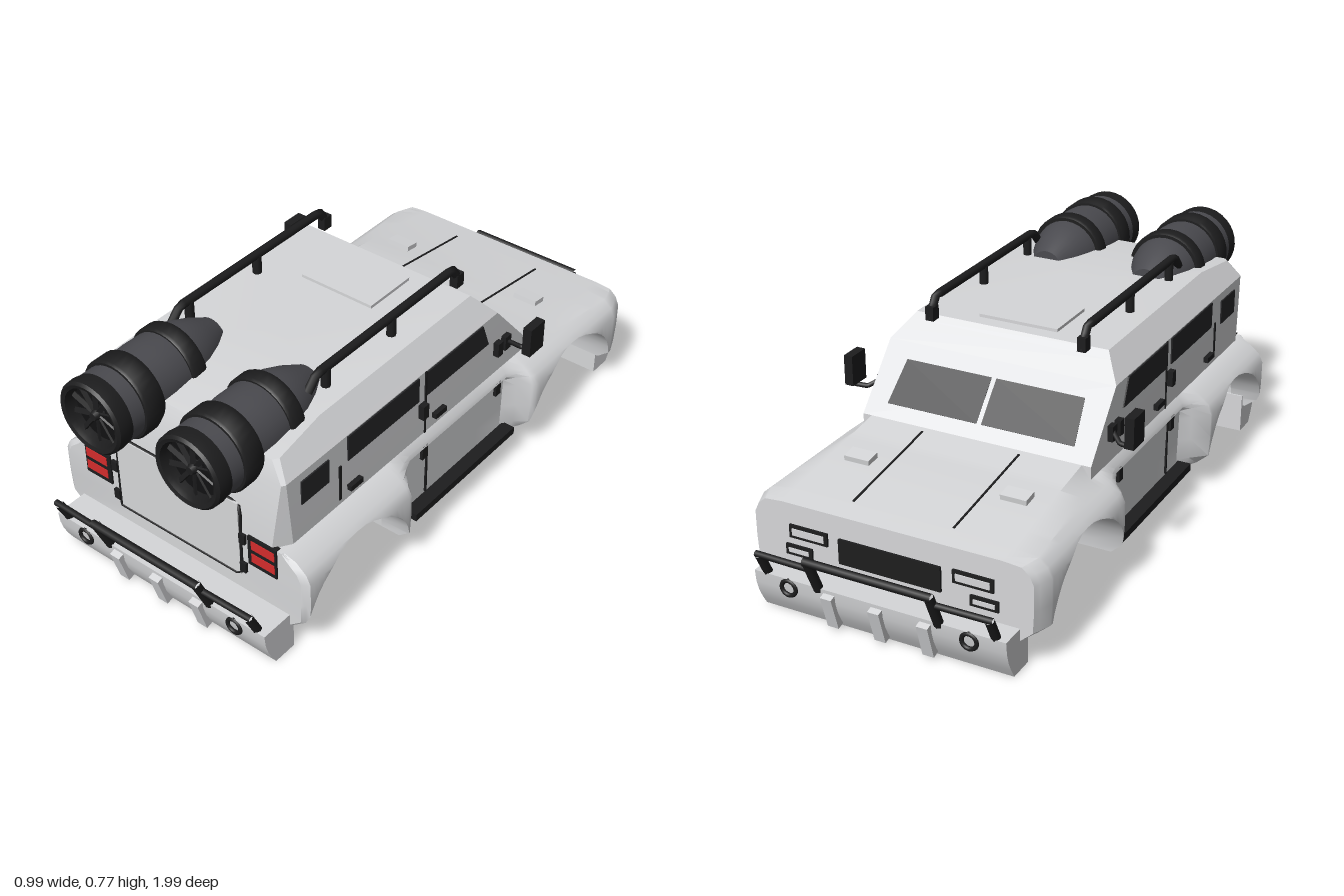
import * as THREE from 'three';
import { toCreasedNormals } from 'three/addons/utils/BufferGeometryUtils.js';

const mat = (name, color, side = THREE.FrontSide) => {
  const m = new THREE.MeshStandardMaterial({ color, side });
  m.name = name;
  return m;
};

// Skin a closed loop of sections and cap both ends
function loft(rings, crease = 0.5) {
  const n = rings[0].length, pos = rings.flat(2), idx = [];
  for (let r = 0; r < rings.length - 1; r++)
    for (let i = 0; i < n; i++) {
      const j = (i + 1) % n, a = r * n, b = a + n;
      idx.push(a + i, a + j, b + j, a + i, b + j, b + i);
    }
  [0, rings.length - 1].forEach((r, end) => {
    const c = [0, 1, 2].map(k => rings[r].reduce((s, p) => s + p[k], 0) / n);
    const ci = pos.length / 3;
    pos.push(...c);
    for (let i = 0; i < n; i++) {
      const a = r * n + i, b = r * n + (i + 1) % n;
      idx.push(ci, end ? a : b, end ? b : a);
    }
  });
  const g = new THREE.BufferGeometry();
  g.setAttribute('position', new THREE.Float32BufferAttribute(pos, 3));
  g.setIndex(idx);
  return toCreasedNormals(g, crease);
}

// Linear lookup through [key, value] pairs
function lookup(t, v) {
  for (let i = 1; i < t.length; i++)
    if (v <= t[i][0]) {
      const [a, b] = [t[i - 1], t[i]];
      return a[1] + (b[1] - a[1]) * Math.max(0, (v - a[0]) / (b[0] - a[0]));
    }
  return t[t.length - 1][1];
}

export function createModel() {
  const root = new THREE.Group();
  root.name = 'armouredTruck';
  const paint = mat('bodyGrey', 0xd6d7d9), black = mat('blackTrim', 0x1d1d1e);
  const glass = mat('darkGlass', 0x262628, THREE.DoubleSide);
  const steel = mat('engineGrey', 0x4a4a4f), red = mat('lampRed', 0xd42c2c);
  const shade = mat('intakeBlack', 0x111112);

  const add = (name, geo, m, x = 0, y = 0, z = 0, parent = root) => {
    const mesh = new THREE.Mesh(geo, m);
    mesh.name = name;
    mesh.position.set(x, y, z);
    parent.add(mesh);
    return mesh;
  };
  const box = (name, m, w, h, d, x, y, z, parent) =>
    add(name, new THREE.BoxGeometry(w, h, d), m, x, y, z, parent);
  const tube = (name, pts, r, m, parent) => {
    const path = new THREE.CurvePath(), v = pts.map(p => new THREE.Vector3(...p));
    for (let i = 1; i < v.length; i++) path.add(new THREE.LineCurve3(v[i - 1], v[i]));
    return add(name, new THREE.TubeGeometry(path, (v.length - 1) * 8, r, 8), m, 0, 0, 0, parent);
  };
  const plate = (pts, depth = 0.006) => new THREE.ExtrudeGeometry(
    new THREE.Shape(pts.map(p => new THREE.Vector2(...p))), { depth, bevelEnabled: false });

  // Lower body: flared fenders, flat doors, wheel arches cut through, open rear underside
  const arches = [0.585, -0.55];
  const fender = [[0.09, 0.43], [0.13, 0.476], [0.2, 0.48], [0.28, 0.48], [0.31, 0.466], [0.34, 0.43], [0.36, 0.39]];
  const door = [[0.09, 0.395], [0.31, 0.4], [0.33, 0.415], [0.36, 0.39]];
  const stations = [0.83, 0.815, 0.823, 0.347, 0.3, 0.265, 0.1, -0.1, -0.245, -0.28, -0.37, -0.375, -0.8, -0.84, -0.86];
  for (const c of arches)
    for (let i = 0; i <= 20; i++) stations.push(c + 0.24 * Math.cos(i * Math.PI / 20));
  stations.sort((a, b) => a - b);
  const section = z => {
    let floor = 0.095;
    for (const c of arches) {
      const d = (z - c) / 0.24;
      floor = Math.max(floor, 0.095 + 0.215 * Math.sqrt(Math.max(0, 1 - d * d)));
    }
    const ceiling = z > 0.346 && z < 0.824 ? 0.352 : floor;
    const flare = THREE.MathUtils.smoothstep(Math.abs(z - 0.01), 0.255, 0.34);
    const taper = z < -0.8 ? (-0.8 - z) * 0.4 : Math.max(0, z - 0.815) * 1.5;
    const t = Math.max(0, (-0.375 - z) / 0.485);
    const edge = 0.36 - 0.03 * t, hood = z > -0.373 ? edge : 0.4 - 0.065 * t;
    const half = [0.09, 0.13, 0.2, 0.28, 0.31, 0.325, 0.34, 0.36].map(level => {
      const y = Math.min(edge, Math.max(level, floor));
      const x = lookup(door, y) * (1 - flare) + lookup(fender, y) * flare;
      return [x - (x > 0.4 ? Math.min(x - 0.39, taper) : 0), y, z];
    });
    half.unshift([0.37, ceiling, z], [0.37, floor, z]);
    half.push([0.36, hood, z]);
    return [...half, ...half.slice().reverse().map(([x, y]) => [-x, y, z])];
  };
  add('lowerBody', loft(stations.map(section), 0.6), paint);

  // Cabin: height, half width, windscreen z, rear z, rear corner cut
  const cabin = [[0.35, 0.39, -0.375, 0.83, 0.035], [0.4, 0.39, -0.375, 0.827, 0.03], [0.59, 0.388, -0.207, 0.81, 0.008],
    [0.647, 0.345, -0.157, 0.79, 0.012], [0.667, 0.33, -0.138, 0.6, 0.012]];
  add('cabin', loft(cabin.map(([y, w, f, b, c]) => [[w - c, y, b], [w, y, b - c * 1.5], [w, y, f],
    [-w, y, f], [-w, y, b - c * 1.5], [c - w, y, b]]), 0.3), paint);
  box('roofHatch', paint, 0.27, 0.014, 0.19, 0, 0.67, 0.005);

  // Windscreen panes, tilted with the cabin front
  for (const s of [-1, 1]) {
    const pane = add('windscreen', plate([[0.008, 0.05], [0.32, 0.05], [0.305, 0.2], [0.008, 0.2]]
      .map(([x, y]) => [s * x, y])), glass, 0, 0.4, -0.377);
    pane.rotation.x = Math.atan(0.887);
  }

  // Side details, mirrored
  const windows = [[[0.535, 0.5], [0.2, 0.5], [0.2, 0.587], [0.535, 0.587]],
    [[0.165, 0.5], [-0.16, 0.5], [-0.125, 0.587], [0.165, 0.587]],
    [[0.74, 0.48], [0.62, 0.48], [0.62, 0.562], [0.74, 0.562]]];
  for (const s of [-1, 1]) {
    const side = new THREE.Group();
    side.name = s > 0 ? 'leftSide' : 'rightSide';
    root.add(side);
    for (const w of windows)
      add('sideWindow', plate(w).rotateY(-Math.PI / 2), glass, s * 0.39 + 0.003, 0, 0, side);
    for (const z of [0.51, 0.1]) box('doorHandle', black, 0.02, 0.018, 0.055, s * 0.396, 0.402, z, side);
    for (const z of [0.185, -0.205])
      for (const y of [0.46, 0.305]) box('doorHinge', black, 0.02, 0.05, 0.026, s * 0.4, y, z, side);
    box('upperDoorSeam', black, 0.006, 0.23, 0.007, s * 0.39, 0.475, 0.165, side);
    box('lowerDoorSeam', black, 0.006, 0.19, 0.007, s * 0.4, 0.225, 0.165, side);
    box('rearDoorSeam', black, 0.006, 0.125, 0.01, s * 0.39, 0.44, 0.57, side);
    box('runningBoard', black, 0.045, 0.025, 0.53, s * 0.422, 0.115, 0.005, side);

    // Mirror on its arm
    box('mirrorMount', black, 0.02, 0.05, 0.03, s * 0.397, 0.46, -0.25, side);
    tube('mirrorArm', [[s * 0.4, 0.465, -0.25], [s * 0.435, 0.443, -0.275], [s * 0.48, 0.443, -0.28]], 0.008, black, side);
    box('mirror', black, 0.03, 0.1, 0.075, s * 0.48, 0.5, -0.275, side);

    // Roof rail
    tube('roofRail', [[s * 0.26, 0.665, -0.17], [s * 0.26, 0.695, -0.165], [s * 0.26, 0.732, -0.14],
      [s * 0.26, 0.732, 0.51], [s * 0.26, 0.69, 0.55]], 0.014, black, side);
    box('railFoot', black, 0.028, 0.045, 0.035, s * 0.26, 0.685, -0.165, side);
    for (const z of [0.165, 0.47]) {
      add('railPost', new THREE.CylinderGeometry(0.015, 0.015, 0.07, 8), black, s * 0.26, 0.695, z, side);
    }

    // Tail lamps and rear door hinges
    box('tailLampFrame', black, 0.105, 0.108, 0.02, s * 0.322, 0.31, 0.826, side);
    for (const y of [0.336, 0.288]) box('tailLamp', red, 0.085, 0.032, 0.008, s * 0.326, y, 0.834, side);
    for (const y of [0.34, 0.23]) box('rearDoorHinge', black, 0.022, 0.035, 0.03, s * 0.25, y, 0.825, side);

    // Headlamps
    for (const [x, y, w, h] of [[0.27, 0.248, 0.13, 0.042], [0.305, 0.186, 0.09, 0.034]]) {
      box('headlampFrame', black, w, h, 0.014, s * x, y, -0.86, side);
      box('headlamp', paint, w - 0.022, h - 0.02, 0.006, s * x, y, -0.867, side);
    }

    // Bonnet vents and seams, sloping with the bonnet
    const tilt = -Math.atan(0.065 / 0.485);
    box('bonnetVent', paint, 0.085, 0.022, 0.05, s * 0.262, 0.377, -0.59, side).rotation.x = tilt;
    box('bonnetSeam', black, 0.006, 0.004, 0.39, s * 0.165, 0.372, -0.59, side).rotation.x = tilt;
  }
  box('grille', black, 0.335, 0.08, 0.016, 0, 0.224, -0.86);

  // Rear door and its dark seal
  const rearDoor = new THREE.Group();
  rearDoor.name = 'rearDoor';
  root.add(rearDoor);
  box('rearDoorPanel', paint, 0.47, 0.27, 0.008, 0, 0.325, 0.83, rearDoor);
  tube('rearDoorSeal', [[-0.24, 0.19, 0.832], [-0.24, 0.445, 0.828], [-0.225, 0.458, 0.826],
    [0.225, 0.458, 0.826], [0.24, 0.445, 0.828], [0.24, 0.19, 0.832], [-0.24, 0.19, 0.832]], 0.005, black, rearDoor);

  // Bumper with bull bar; the same set is turned round for the other end
  for (const end of [1, -1]) {
    const bumper = new THREE.Group();
    bumper.name = end > 0 ? 'rearBumper' : 'frontBumper';
    if (end < 0) bumper.rotation.y = Math.PI;
    root.add(bumper);
    const profile = plate([[0.815, 0], [0.895, 0], [0.912, 0.03], [0.926, 0.06], [0.936, 0.095],
      [0.94, 0.135], [0.815, 0.135]], 0.826);
    add('bumperBeam', toCreasedNormals(profile.rotateY(-Math.PI / 2), 0.4), paint, 0.413, 0, 0, bumper);
    for (const x of [-0.158, 0, 0.158])
      box('bumperTab', paint, 0.037, 0.115, 0.035, x, 0.067, 0.926, bumper).rotation.x = 0.28;
    for (const s of [-1, 1]) {
      add('fogLampRing', new THREE.TorusGeometry(0.024, 0.007, 8, 20), black, s * 0.297, 0.105, 0.938, bumper);
      tube('barLeg', [[s * 0.375, 0.13, 0.925], [s * 0.375, 0.208, 0.962]], 0.014, black, bumper);
      tube('hoopLeg', [[s * 0.198, 0.125, 0.93], [s * 0.198, 0.245, 0.982]], 0.015, black, bumper);
      tube('sideBar', [[s * 0.387, 0.208, 0.962], [s * 0.19, 0.208, 0.965]], 0.01, black, bumper);
    }
    tube('hoopBar', [[-0.208, 0.24, 0.982], [0.208, 0.24, 0.982]], 0.013, black, bumper);
  }

  // Twin roof engines, intakes facing +z
  const spin = pts => toCreasedNormals(new THREE.LatheGeometry(
    pts.map(p => new THREE.Vector2(...p)), 32).rotateX(Math.PI / 2), 0.6);
  for (const s of [-1, 1]) {
    const engine = new THREE.Group();
    engine.name = 'roofEngine';
    engine.position.set(s * 0.183, 0.638, 0);
    root.add(engine);
    add('engineShell', spin([[0, 0.46], [0.055, 0.46], [0.085, 0.52], [0.107, 0.58], [0.118, 0.64],
      [0.12, 0.74], [0.116, 0.8], [0.116, 0.92], [0, 0.92]]), steel, 0, 0, 0, engine);
    for (const [a, b] of [[0.615, 0.672], [0.79, 0.865]])
      add('engineBand', spin([[0.1, a], [0.124, a], [0.129, a + 0.008], [0.129, b - 0.008], [0.124, b], [0.1, b]]),
        black, 0, 0, 0, engine);
    add('intakeRim', spin([[0.114, 0.9], [0.12, 0.935], [0.118, 0.962], [0.11, 0.97], [0.098, 0.966],
      [0.094, 0.95], [0.094, 0.915]]), black, 0, 0, 0, engine);
    add('intakeDisc', new THREE.CircleGeometry(0.096, 32), shade, 0, 0, 0.925, engine);
    for (let i = 0; i < 10; i++) {
      const a = i * Math.PI / 5 + 0.3;
      const blade = box('fanBlade', black, 0.08, 0.016, 0.006, Math.cos(a) * 0.055, Math.sin(a) * 0.055, 0.937, engine);
      blade.rotation.set(0.5, 0, a, 'ZYX');
    }
    add('fanHub', new THREE.CylinderGeometry(0.012, 0.022, 0.03, 16).rotateX(Math.PI / 2), black, 0, 0, 0.94, engine);
  }
  return root;
}
